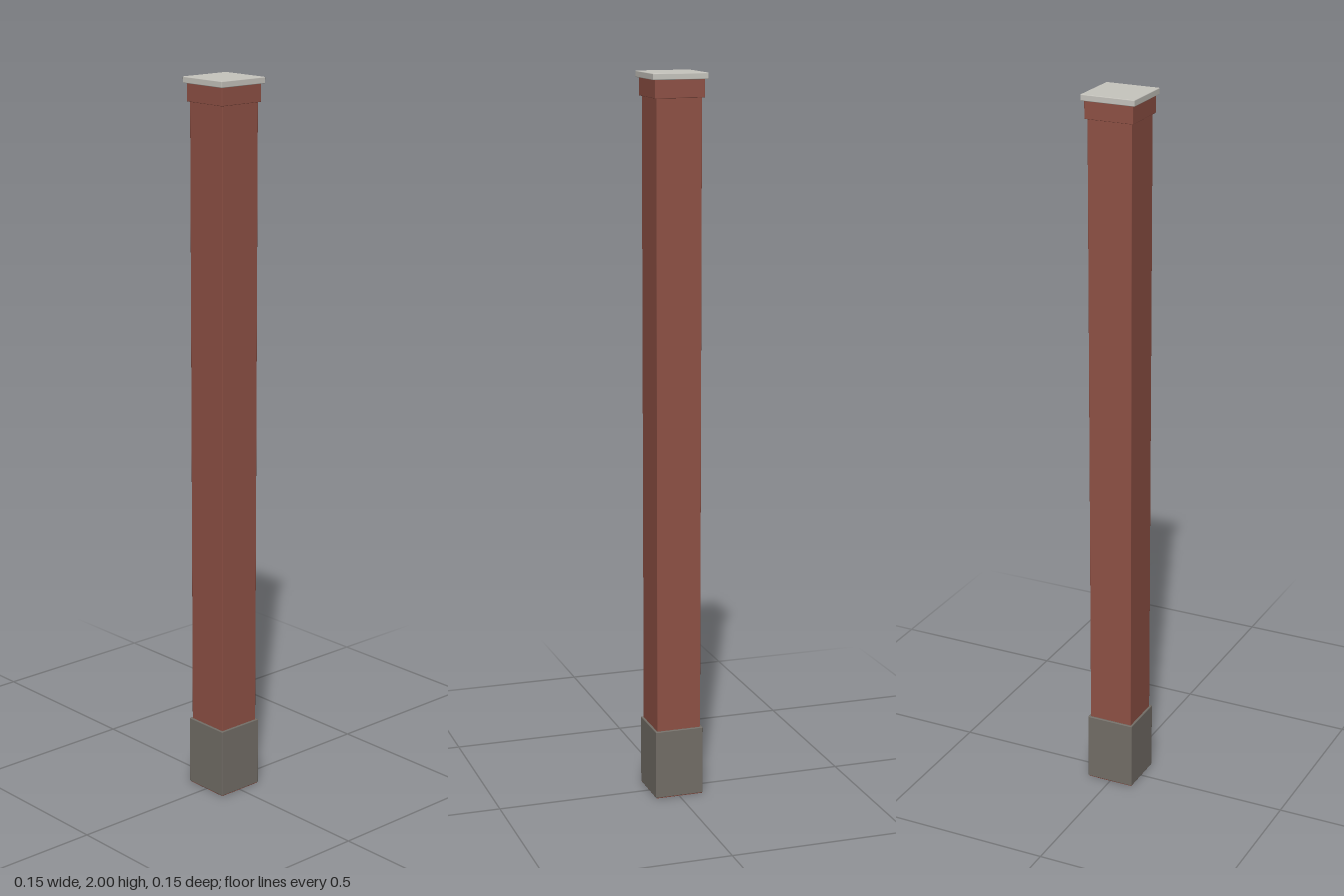
import * as THREE from 'three';
import { RoundedBoxGeometry } from 'three/addons/geometries/RoundedBoxGeometry.js';

export function createModel() {
  const group = new THREE.Group();
  group.name = 'squarePost';

  const material = (name, color) => {
    const m = new THREE.MeshStandardMaterial({ color });
    m.name = name;
    return m;
  };
  const brick = material('brickRed', 0x8f5145);
  const stone = material('darkStone', 0x736e67);
  const capStone = material('paleStone', 0xc7c5be);

  // Square block between two heights, with a narrow bevel on its edges
  const block = (name, width, y0, y1, mat, bevel) => {
    const geometry = new RoundedBoxGeometry(width, y1 - y0, width, 1, bevel);
    const mesh = new THREE.Mesh(geometry, mat);
    mesh.name = name;
    mesh.position.y = (y0 + y1) / 2;
    group.add(mesh);
  };

  // Plinth with a brick underside
  block('underside', 0.134, 0, 0.006, brick, 0.0005);
  block('plinth', 0.138, 0.002, 0.196, stone, 0.002);

  // Shaft and the collar below the cap
  block('shaft', 0.126, 0.1, 1.96, brick, 0.0015);
  block('collar', 0.138, 1.935, 1.987, brick, 0.0015);

  // Overhanging cap slab
  block('cap', 0.153, 1.983, 2, capStone, 0.002);

  return group;
}
